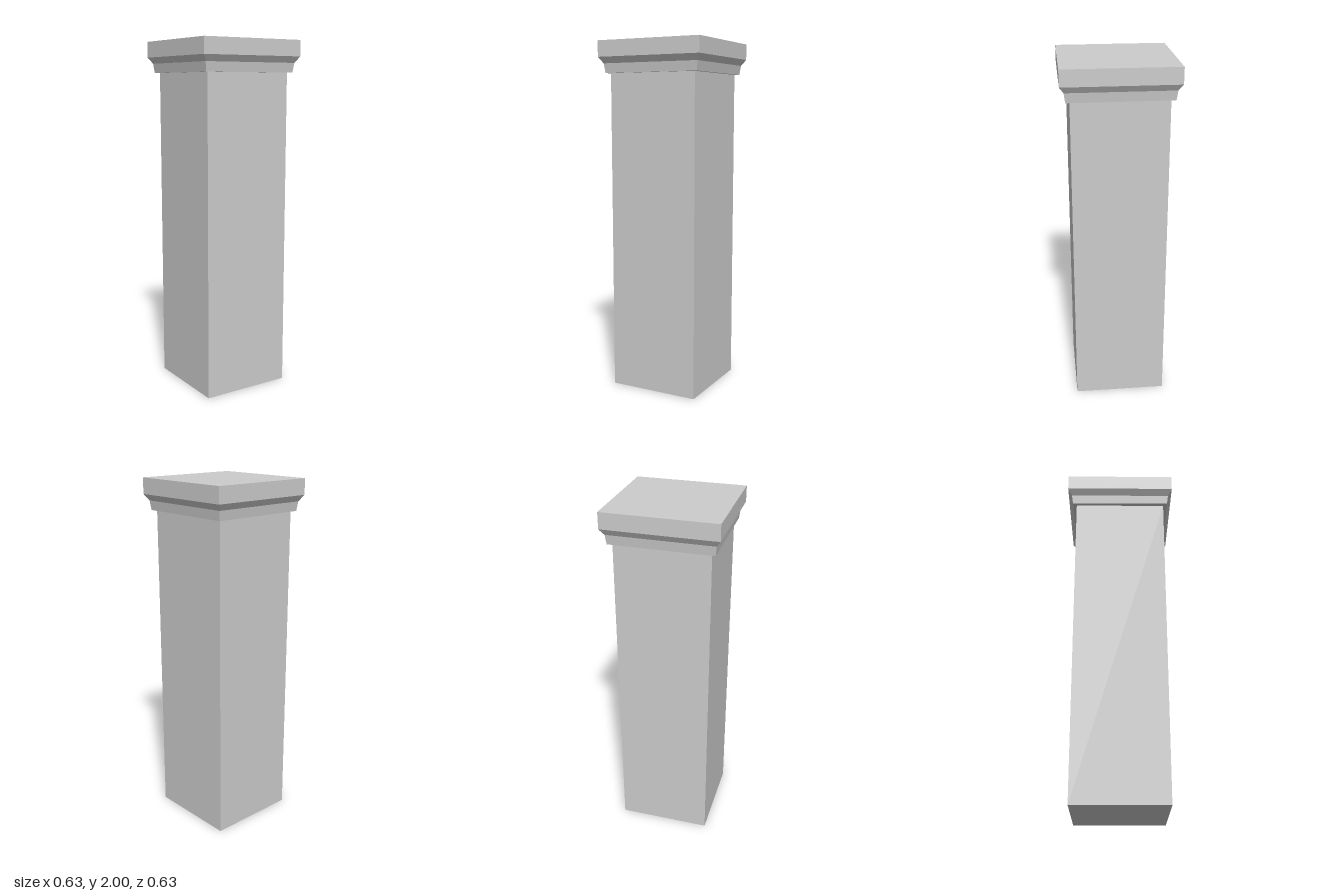
import * as THREE from 'three';

const material = new THREE.MeshStandardMaterial({ color: 0xcccccc, flatShading: true });

// Square moulding: a profile of [half width, height], bottom to top, turned in four sides
function squareTurned(name, profile) {
  const points = profile.map(([half, y]) => new THREE.Vector2(half * Math.SQRT2, y));
  const geometry = new THREE.LatheGeometry(points, 4, Math.PI / 4).toNonIndexed();
  geometry.computeVertexNormals();
  const mesh = new THREE.Mesh(geometry, material);
  mesh.name = name;
  return mesh;
}

export function createModel() {
  const pillar = new THREE.Group();
  pillar.name = 'pillar';

  // Plain square shaft, reaching the underside of the capital
  const shaftHeight = 1.822;
  const shaft = new THREE.Mesh(new THREE.BoxGeometry(0.526, shaftHeight, 0.526), material);
  shaft.name = 'shaft';
  shaft.position.y = shaftHeight / 2;
  pillar.add(shaft);

  // Capital: slightly flared neck, sloped underside and a flat slab on top
  pillar.add(squareTurned('capital', [
    [0, shaftHeight],
    [0.285, shaftHeight],
    [0.292, 1.875],
    [0.315, 1.91],
    [0.315, 2],
    [0, 2],
  ]));

  return pillar;
}
